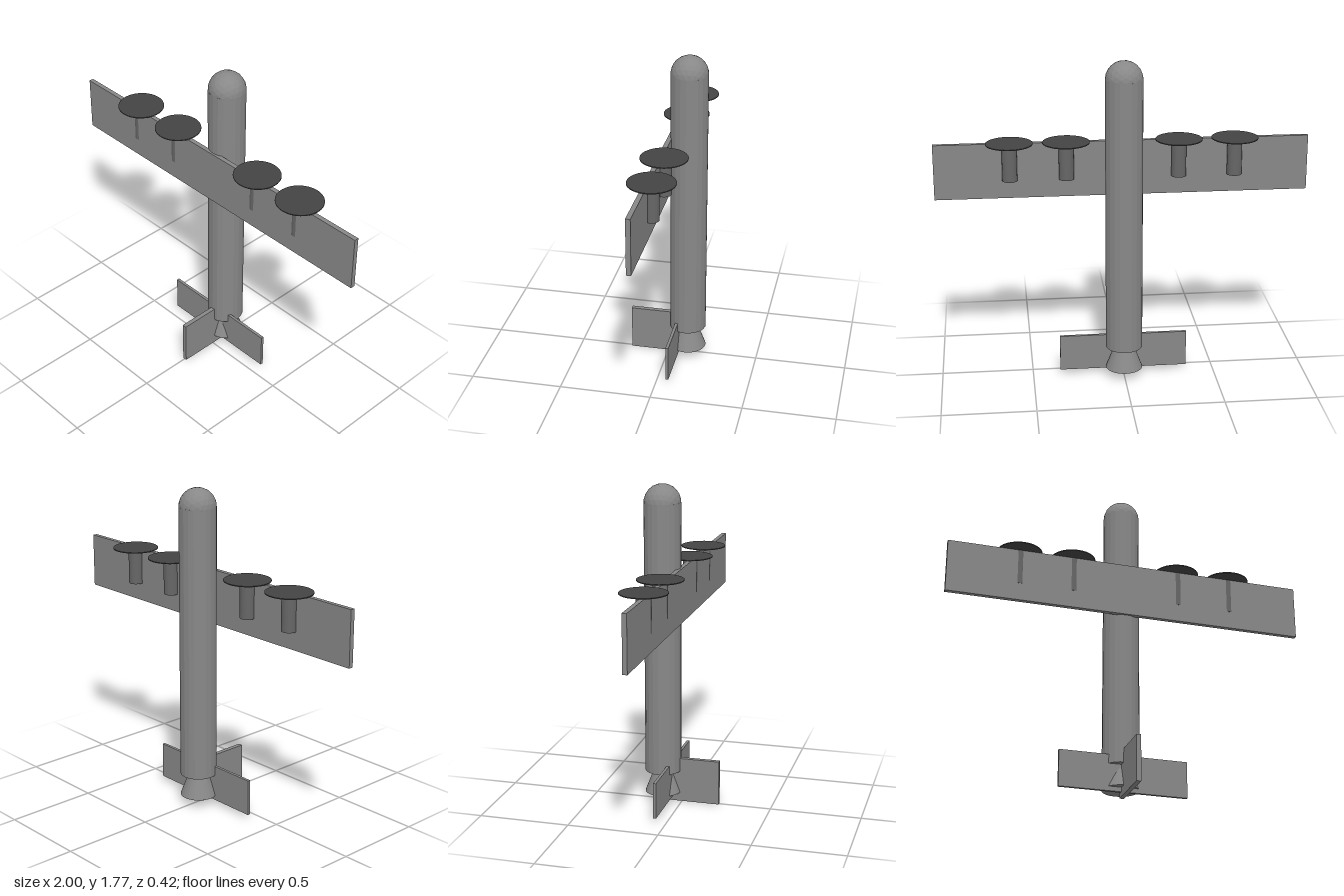
import * as THREE from 'three';

export function createModel() {
  const model = new THREE.Group();
  const paint = (color) => new THREE.MeshStandardMaterial({ color, flatShading: true });
  const grey = paint(0x888888);
  const podGrey = paint(0x666666);
  const rotorGrey = paint(0x444444);

  const add = (name, geometry, x, y, z, material = grey) => {
    const mesh = new THREE.Mesh(geometry, material);
    mesh.name = name;
    mesh.position.set(x, y, z);
    model.add(mesh);
  };

  const bodyZ = -0.11;
  const rotorZ = -0.0375;

  // Upright body with rounded nose and flared nozzle
  add('fuselage', new THREE.CylinderGeometry(0.1, 0.1, 1.5, 20), 0, 0.925, bodyZ);
  add('nose', new THREE.IcosahedronGeometry(0.1, 3), 0, 1.675, bodyZ);
  add('nozzle', new THREE.CylinderGeometry(0.053, 0.1, 0.125, 32), 0, 0.1125, bodyZ);

  // Wing and tail surfaces
  add('wing', new THREE.BoxGeometry(2, 0.3, 0.025), 0, 1.175, -0.0125);
  add('tailplane', new THREE.BoxGeometry(0.7, 0.2, 0.016), 0, 0.125, -0.061);
  add('tailFin', new THREE.BoxGeometry(0.025, 0.25, 0.3), 0, 0.125, 0.06);

  // Four engine pods, each topped by a thin rotor disc
  for (const x of [-0.6, -0.3, 0.3, 0.6]) {
    add('enginePod', new THREE.CylinderGeometry(0.04, 0.04, 0.2, 20), x, 1.225, rotorZ, podGrey);
    add('rotorDisc', new THREE.CylinderGeometry(0.125, 0.125, 0.005, 32), x, 1.3275, rotorZ, rotorGrey);
  }
  return model;
}
